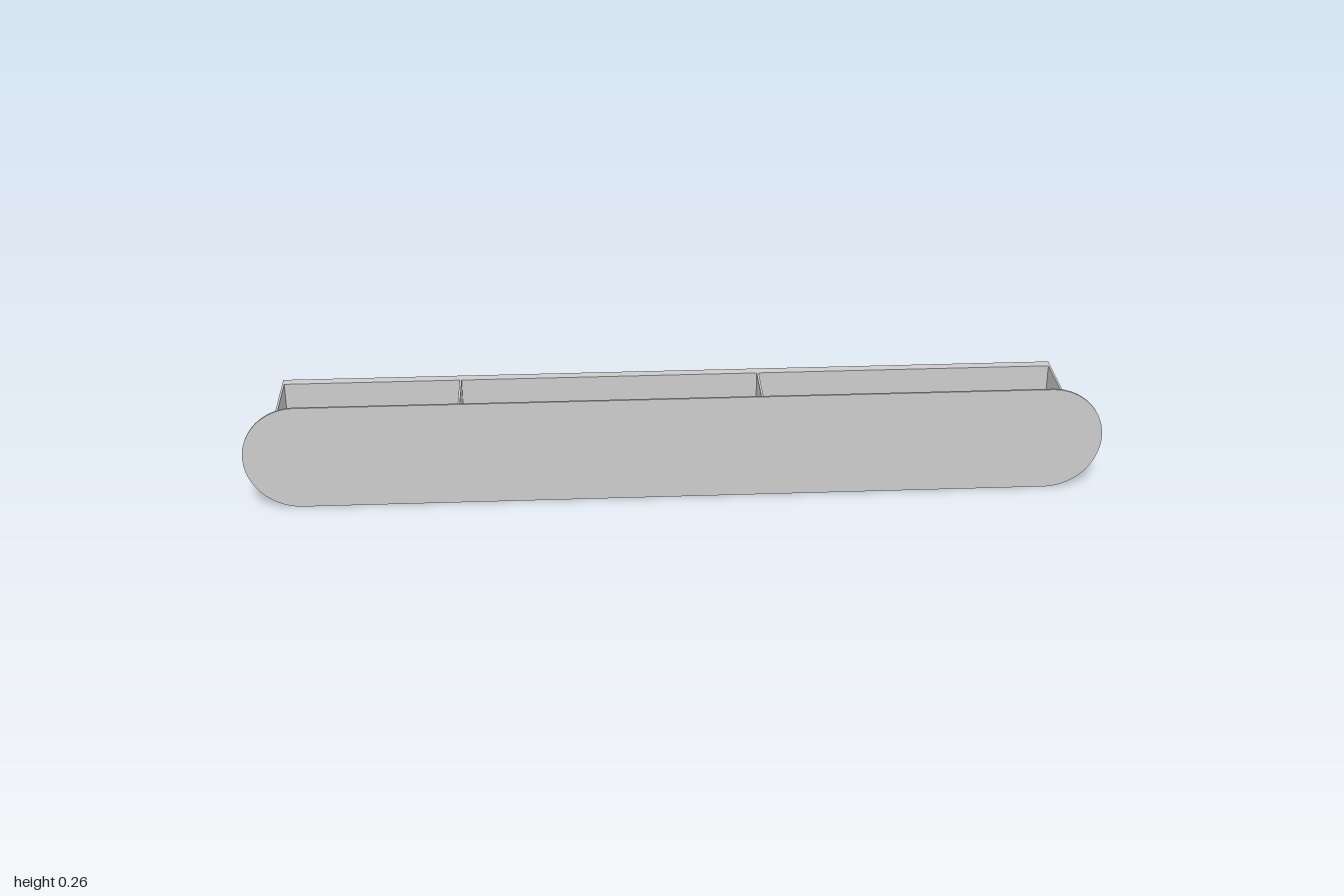
import * as THREE from 'three';

const T = 0.005; // sheet thickness
const LEFT = 0.925, RIGHT = -0.93, BOTTOM = 0.03, TOP = 0.2;
const BACK = -0.132, WALL = -0.113, FRONT = 0.127;

export function createModel() {
  const group = new THREE.Group();
  const material = new THREE.MeshStandardMaterial({ color: 0xcccccc });

  const add = (name, geometry, x = 0, y = 0, z = 0) => {
    const mesh = new THREE.Mesh(geometry, material);
    mesh.name = name;
    mesh.position.set(x, y, z);
    group.add(mesh);
    return mesh;
  };
  // box given by its limits on each axis
  const box = (name, x0, x1, y0, y1, z0, z1) =>
    add(name, new THREE.BoxGeometry(x1 - x0, y1 - y0, z1 - z0),
      (x0 + x1) / 2, (y0 + y1) / 2, (z0 + z1) / 2);

  // front panel with fully rounded ends
  const r = 0.1285;
  const outline = new THREE.Shape();
  outline.absarc(1 - r, r, r, -Math.PI / 2, Math.PI / 2, false);
  outline.absarc(r - 1, r, r, Math.PI / 2, Math.PI * 1.5, false);
  outline.closePath();
  add('frontPanel', new THREE.ExtrudeGeometry(outline,
    { depth: T, bevelEnabled: false, curveSegments: 32 }), 0, 0, FRONT);

  // recessed back wall under a top lip
  box('backWall', RIGHT, LEFT, BOTTOM, TOP, WALL, WALL + T);
  box('topLip', RIGHT, LEFT, TOP - T, TOP, BACK, WALL);

  // end panels reach the wall behind, inner dividers stop at the back wall
  box('rightEndPanel', RIGHT, RIGHT + T, BOTTOM, TOP, BACK, FRONT);
  box('leftEndPanel', LEFT - T, LEFT, BOTTOM, TOP, BACK, FRONT);
  for (const x of [-0.505, 0.21])
    box('divider', x - T / 2, x + T / 2, BOTTOM, TOP, WALL + T, FRONT);

  // two floor slats in the shelf compartments
  for (const z of [-0.045, 0.055])
    box('floorSlat', -0.505, LEFT - T, BOTTOM + 0.002, BOTTOM + 0.012, z - 0.035, z + 0.035);

  // pegs with a wider cap, turned around their axis
  const pegProfile = [[0, 0], [0.02, 0], [0.02, 0.104], [0.026, 0.104], [0.026, 0.111], [0, 0.111]];
  for (const x of [-0.84, -0.595]) {
    // doubled corners keep the rims sharp
    const peg = new THREE.Group();
    peg.name = 'peg';
    for (let i = 1; i < pegProfile.length; i++) {
      const pts = [pegProfile[i - 1], pegProfile[i]].map(p => new THREE.Vector2(...p));
      const part = new THREE.Mesh(new THREE.LatheGeometry(pts, 32), material);
      part.name = 'pegSurface';
      peg.add(part);
    }
    peg.rotation.x = Math.PI / 2;
    peg.position.set(x, 0.11, WALL + 0.002);
    group.add(peg);
  }

  // hanging plates with a keyhole: round opening below, narrow slot above
  const w = 0.031, y0 = 0.108, y1 = TOP - T;
  for (const x of [-0.832, 0.828]) {
    const plate = new THREE.Shape([[-w, y0], [w, y0], [w, y1], [-w, y1]]
      .map(p => new THREE.Vector2(...p)));
    const keyhole = new THREE.Path();
    const cy = 0.138, R = 0.014, s = 0.006, a = Math.acos(s / R);
    keyhole.absarc(0, cy, R, Math.PI - a, a, false);
    keyhole.absarc(0, 0.175, s, 0, Math.PI, false);
    keyhole.closePath();
    plate.holes.push(keyhole);
    add('hangingPlate', new THREE.ExtrudeGeometry(plate,
      { depth: 0.012, bevelEnabled: false, curveSegments: 16 }), x, 0, WALL - 0.012);
  }
  return group;
}
